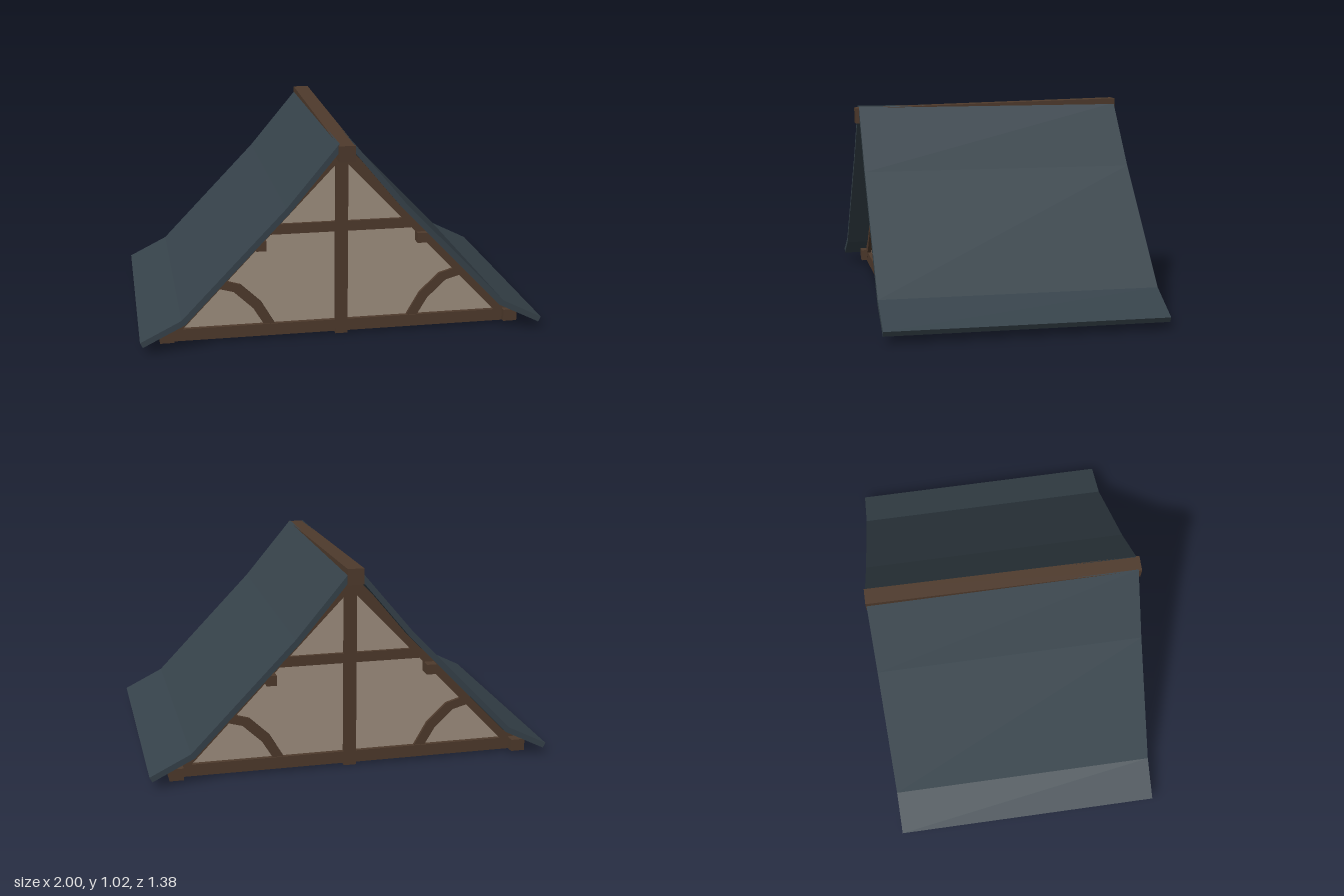
import * as THREE from 'three';

const material = (color) => new THREE.MeshStandardMaterial({ color, flatShading: true });

export function createModel() {
  const wood = material(0x4e3a2c);
  const plaster = material(0x9f8f7f);
  const slate = material(0x36424a);
  const model = new THREE.Group();
  model.name = 'timberRoof';

  const add = (parent, name, geometry, mat) => {
    const mesh = new THREE.Mesh(geometry, mat);
    mesh.name = name;
    parent.add(mesh);
    return mesh;
  };
  const box = (parent, name, [w, h, d], [x, y, z]) => {
    const mesh = add(parent, name, new THREE.BoxGeometry(w, h, d), wood);
    mesh.position.set(x, y, z);
    return mesh;
  };
  // Outline in the xy plane, mirrored by side, extruded from z0 to z1
  const slab = (parent, name, points, side, z0, z1, mat) => {
    const shape = new THREE.Shape(points.map(([x, y]) => new THREE.Vector2(x * side, y)));
    const geometry = new THREE.ExtrudeGeometry(shape, { depth: z1 - z0, bevelEnabled: false });
    geometry.translate(0, 0, z0);
    return add(parent, name, geometry, mat);
  };

  // Roof slopes with a flared eave
  const roofOutline = [
    [0.035, 1.0], [0.29, 0.695], [0.8, 0.165], [1.0, 0.065],
    [0.987, 0.04], [0.782, 0.142], [0.27, 0.675], [0.035, 0.958],
  ];
  for (const side of [-1, 1]) {
    const label = side > 0 ? 'left' : 'right';
    slab(model, label + 'RoofSlope', roofOutline, side, -0.685, 0.672, slate);
    // Lengthwise timbers
    box(model, label + 'WallPlate', [0.07, 0.06, 1.23], [side * 0.867, 0.05, -0.03]);
    box(model, label + 'Purlin', [0.05, 0.05, 1.23], [side * 0.4, 0.487, -0.03]);
  }

  // Ridge beam, slightly higher at the back
  const ridge = box(model, 'ridgeBeam', [0.08, 0.078, 1.378], [0, 0.969, 0]);
  ridge.rotation.x = 0.024;

  // Half-timbered gables
  const braceOutline = [
    [0.325, 0.06], [0.4, 0.19], [0.5, 0.285], [0.6, 0.315],
    [0.625, 0.275], [0.535, 0.25], [0.44, 0.16], [0.38, 0.06],
  ];
  for (const [label, z] of [['front', 0.522], ['back', -0.56]]) {
    const gable = new THREE.Group();
    gable.name = label + 'Gable';
    gable.position.z = z;
    model.add(gable);

    slab(gable, 'plasterPanel', [[-0.85, 0.05], [0.85, 0.05], [0, 0.93]], 1, -0.01, 0.01, plaster);
    box(gable, 'tieBeam', [1.72, 0.06, 0.064], [0, 0.045, 0]);
    box(gable, 'kingPost', [0.062, 0.93, 0.068], [0, 0.467, 0]);
    box(gable, 'collarBeam', [0.7, 0.05, 0.055], [0, 0.558, 0]);
    for (const side of [-1, 1]) {
      const rafter = box(gable, 'rafter', [1.2, 0.056, 0.066], [side * 0.435, 0.487, 0]);
      rafter.rotation.z = -side * Math.atan2(0.87, 0.83);
      slab(gable, 'curvedBrace', braceOutline, side, -0.026, 0.026, wood);
    }
  }
  return model;
}
